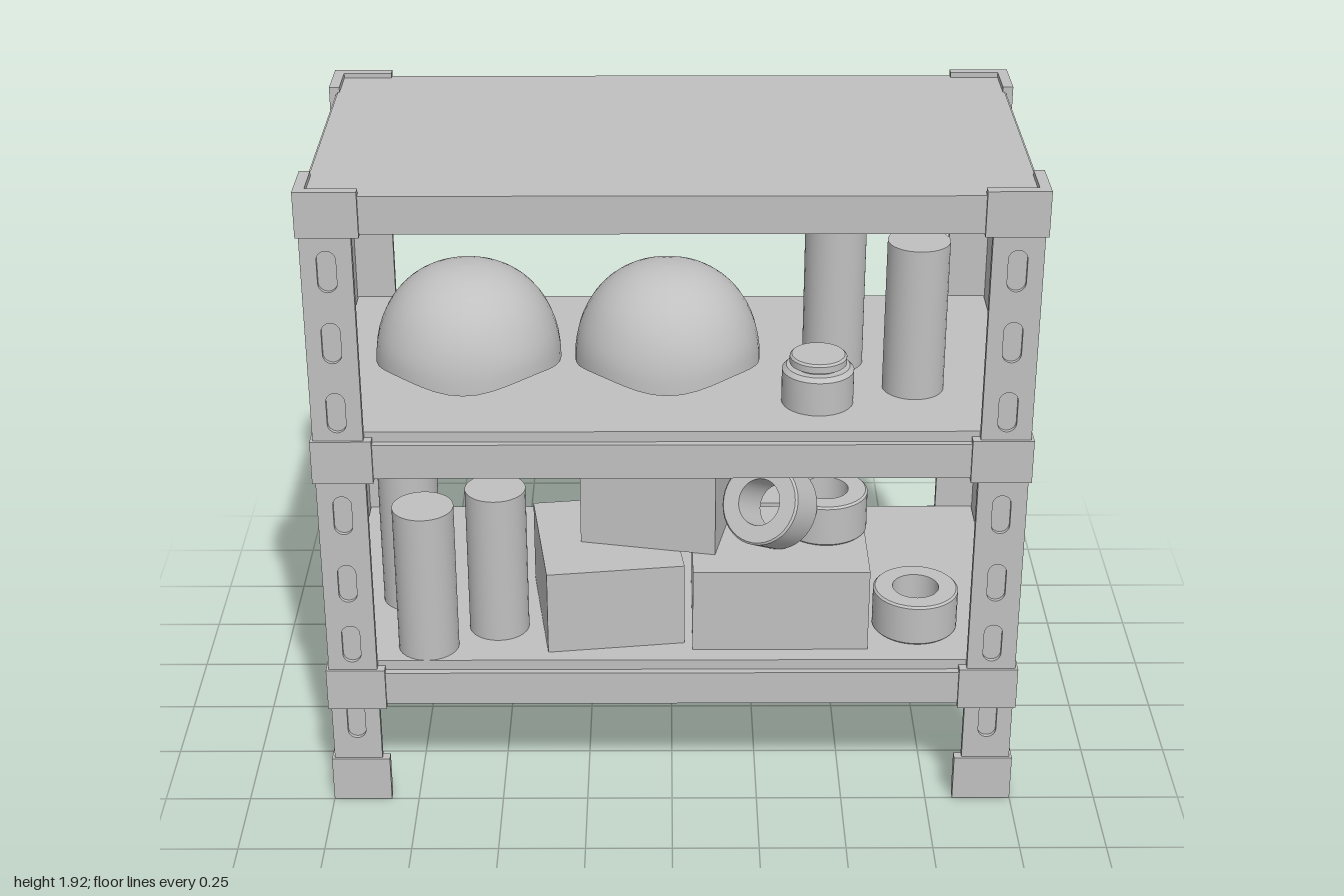
import * as THREE from 'three';
import { toCreasedNormals } from 'three/addons/utils/BufferGeometryUtils.js';

const grey = new THREE.MeshStandardMaterial({ color: 0xc0c0c0 });
grey.name = 'grey';
const greyOpen = grey.clone();
greyOpen.side = THREE.DoubleSide;

function add(parent, name, geometry, x = 0, y = 0, z = 0, material = grey) {
  const mesh = new THREE.Mesh(geometry, material);
  mesh.name = name;
  mesh.position.set(x, y, z);
  parent.add(mesh);
  return mesh;
}

const box = (w, h, d) => new THREE.BoxGeometry(w, h, d);

// L-shaped corner piece, extruded upwards
function cornerGeometry(sx, sz, height) {
  const t = 0.03, armX = 0.17, armZ = 0.16;
  const outline = [[1, 0.5], [1 - armX, 0.5], [1 - armX, 0.5 - t], [1 - t, 0.5 - t], [1 - t, 0.5 - armZ], [1, 0.5 - armZ]];
  const shape = new THREE.Shape(outline.map(([x, z]) => new THREE.Vector2(x * sx, -z * sz)));
  const geometry = new THREE.ExtrudeGeometry(shape, { depth: height, bevelEnabled: false });
  return geometry.rotateX(-Math.PI / 2);
}

// Flat upright plate with a column of rounded slots
function slottedPlate(width, height, thickness) {
  const shape = new THREE.Shape();
  shape.moveTo(-width / 2, 0);
  shape.lineTo(width / 2, 0);
  shape.lineTo(width / 2, height);
  shape.lineTo(-width / 2, height);
  shape.closePath();
  const r = 0.026, half = 0.034;
  for (const y of [0.27, 0.53, 0.73, 0.95, 1.27, 1.48, 1.69]) {
    const slot = new THREE.Path();
    slot.absarc(0, y + half, r, 0, Math.PI, false);
    slot.absarc(0, y - half, r, Math.PI, Math.PI * 2, false);
    slot.closePath();
    shape.holes.push(slot);
  }
  const geometry = new THREE.ExtrudeGeometry(shape, { depth: thickness, bevelEnabled: false, curveSegments: 8 });
  return geometry.translate(0, 0, -thickness / 2);
}

// Slotted angle legs with brackets, feet and caps
function addLegs(parent) {
  const height = 1.88;
  for (const sx of [-1, 1]) for (const sz of [-1, 1]) {
    const leg = new THREE.Group();
    leg.name = 'cornerLeg';
    parent.add(leg);
    add(leg, 'legFace', slottedPlate(0.14, height, 0.012), sx * 0.922, 0, sz * 0.486);
    add(leg, 'legFaceBacking', box(0.14, height, 0.01), sx * 0.922, height / 2, sz * 0.475);
    add(leg, 'legSide', slottedPlate(0.13, height, 0.012).rotateY(Math.PI / 2), sx * 0.986, 0, sz * 0.427);
    add(leg, 'legSideBacking', box(0.01, height, 0.13), sx * 0.975, height / 2, sz * 0.427);
    const pieces = [['foot', 0, 0.14], ['bracket', 0.315, 0.13], ['bracket', 1.055, 0.13], ['cap', 1.79, 0.13]];
    for (const [name, y, h] of pieces) add(leg, name, cornerGeometry(sx, sz, h), 0, y, 0);
  }
}

// Shelf board carried by four thin beams
function addShelf(parent, top, isTop) {
  const shelf = new THREE.Group();
  shelf.name = isTop ? 'topShelf' : 'shelf';
  parent.add(shelf);
  const beamTop = isTop ? top - 0.004 : top - 0.03, beamH = 0.104;
  add(shelf, 'board', isTop ? box(1.95, 0.03, 0.98) : box(1.935, 0.035, 0.935), 0, top - (isTop ? 0.015 : 0.0175), 0);
  for (const s of [-1, 1]) {
    add(shelf, 'longBeam', box(1.9, beamH, 0.02), 0, beamTop - beamH / 2, s * 0.48);
    add(shelf, 'shortBeam', box(0.02, beamH, 0.92), s * 0.97, beamTop - beamH / 2, 0);
  }
}

const points = list => list.map(([x, y]) => new THREE.Vector2(x, y));

// Hollow roll, centred on its axis
function rollGeometry() {
  const r = 0.125, hole = 0.068, h = 0.064;
  const profile = points([[hole, -h], [r - 0.006, -h], [r, -h + 0.006], [r, h - 0.006], [r - 0.006, h], [hole, h], [hole, -h]]);
  return toCreasedNormals(new THREE.LatheGeometry(profile, 40), 0.6);
}

// Open dome with a gently waved rim
function domeGeometry() {
  const profile = [];
  for (let i = 0; i <= 14; i++) {
    const a = (i / 14) * Math.PI / 2;
    profile.push(new THREE.Vector2(0.27 * Math.pow(Math.cos(a), 0.88), 0.29 * Math.pow(Math.sin(a), 0.95)));
  }
  profile[14].x = 0;
  const geometry = new THREE.LatheGeometry(profile, 40);
  const p = geometry.attributes.position;
  for (let i = 0; i < p.count; i++) {
    const angle = Math.atan2(p.getZ(i), p.getX(i));
    const fade = Math.max(0, 1 - p.getY(i) / 0.12);
    p.setY(i, p.getY(i) + 0.025 * fade * Math.sin(2 * angle) ** 2);
  }
  geometry.computeVertexNormals();
  return geometry;
}

function addGoods(parent) {
  const low = 0.46, high = 1.2;

  // Tall canisters: x, z, shelf height
  const canisters = [[0.47, 0, high], [0.69, 0.18, high], [-0.71, 0.38, low], [-0.51, 0.27, low], [-0.78, 0.1, low]];
  for (const [x, z, y] of canisters) {
    const h = y === high ? 0.452 : 0.46;
    add(parent, 'canister', new THREE.CylinderGeometry(0.088, 0.088, h, 32), x, y + h / 2, z);
  }

  // Domes
  for (const x of [-0.592, -0.012]) add(parent, 'dome', domeGeometry(), x, high + 0.013, 0, greyOpen);

  // Jar with lid
  const jar = points([[0, 0], [0.102, 0], [0.102, 0.1], [0.09, 0.112], [0.068, 0.112], [0.068, 0.118], [0.081, 0.12], [0.081, 0.14], [0.075, 0.146], [0, 0.146]]);
  add(parent, 'jar', toCreasedNormals(new THREE.LatheGeometry(jar, 32), 0.6), 0.412, high, 0.27);

  // Cartons: width, depth, x, base, z, turn
  const cartons = [
    [0.4, 0.44, -0.19, low, 0.18, 0.13],
    [0.51, 0.4, 0.315, low, 0.21, 0],
    [0.48, 0.45, 0.32, low, -0.235, 0],
    [0.4, 0.49, -0.022, low + 0.26, 0.03, -0.2],
  ];
  for (const [w, d, x, y, z, turn] of cartons) {
    add(parent, 'carton', box(w, 0.258, d), x, y + 0.129, z).rotation.y = turn;
  }

  // Rolls, one of them leaning
  add(parent, 'roll', rollGeometry(), 0.452, 0.783, 0.135);
  add(parent, 'roll', rollGeometry(), 0.718, low + 0.064, 0.265);
  const leaning = add(parent, 'leaningRoll', rollGeometry(), 0.285, 0.848, 0.24);
  const axis = new THREE.Vector3(-0.52, 0.5, 0.69).normalize();
  leaning.quaternion.setFromUnitVectors(new THREE.Vector3(0, 1, 0), axis);
}

export function createModel() {
  const model = new THREE.Group();
  model.name = 'storageShelf';
  addLegs(model);
  addShelf(model, 0.46, false);
  addShelf(model, 1.2, false);
  addShelf(model, 1.905, true);
  addGoods(model);
  return model;
}
